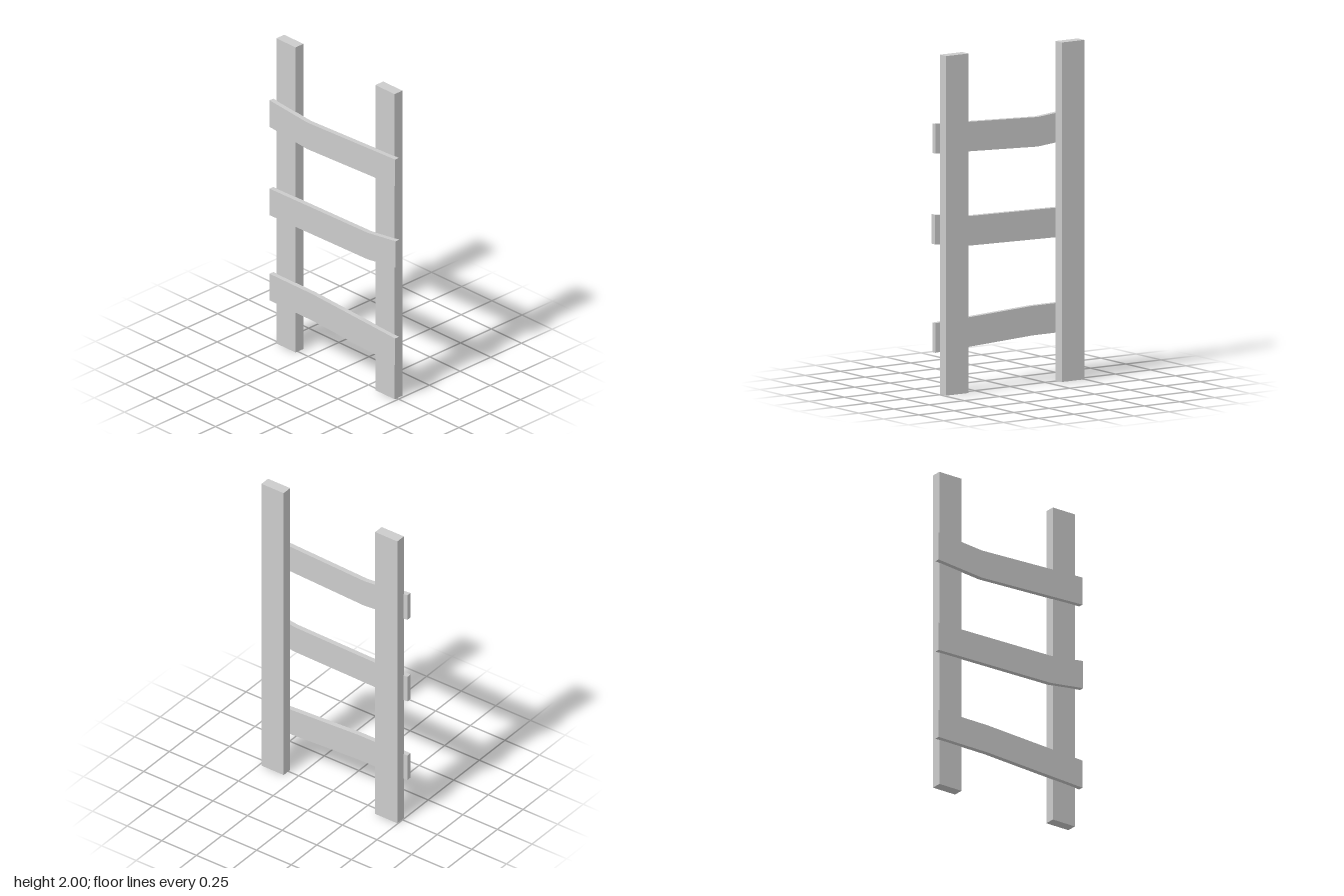
import * as THREE from 'three';

const material = new THREE.MeshStandardMaterial({ color: 0xcccccc, flatShading: true });

// Upright board standing on the ground
function createPost(name, x) {
  const post = new THREE.Mesh(new THREE.BoxGeometry(0.16, 2, 0.064), material);
  post.name = name;
  post.position.set(x, 1, -0.014);
  return post;
}

// Bent slat: extruded strip whose lower edge follows the given points
function createRung(name, lowerEdge) {
  const height = 0.174;
  const lower = lowerEdge.map(([x, y]) => new THREE.Vector2(x, y));
  const upper = lowerEdge.map(([x, y]) => new THREE.Vector2(x, y + height)).reverse();
  const geometry = new THREE.ExtrudeGeometry(new THREE.Shape([...lower, ...upper]), {
    depth: 0.031,
    bevelEnabled: false,
  });
  const rung = new THREE.Mesh(geometry, material);
  rung.name = name;
  rung.position.z = 0.0155;
  return rung;
}

export function createModel() {
  const ladder = new THREE.Group();
  ladder.name = 'ladder';

  // Posts
  ladder.add(createPost('leftPost', 0.405), createPost('rightPost', -0.416));

  // Rungs nailed across the front, each with its own warp
  ladder.add(
    createRung('bottomRung', [[-0.523, 0.283], [-0.17, 0.282], [0.518, 0.247]]),
    createRung('middleRung', [[-0.523, 0.841], [0.29, 0.855], [0.523, 0.886]]),
    createRung('topRung', [[-0.523, 1.42], [-0.21, 1.391], [0.518, 1.42]]),
  );

  return ladder;
}
